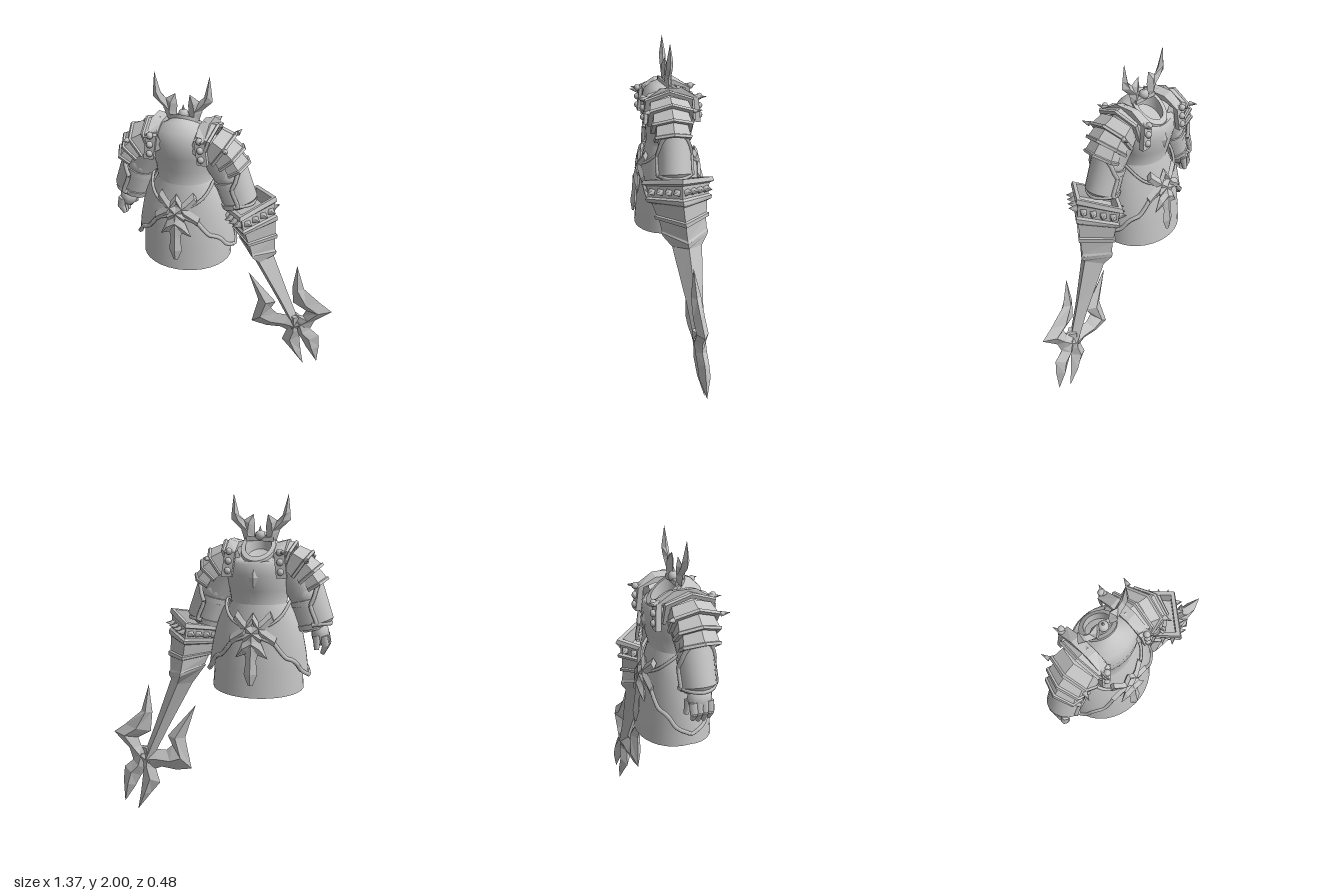
import * as THREE from 'three';
import { toCreasedNormals } from 'three/addons/utils/BufferGeometryUtils.js';

const steel = new THREE.MeshStandardMaterial({ color: 0xc4c4c4, side: THREE.DoubleSide });
steel.name = 'steel';
const V = (x, y, z) => new THREE.Vector3(x, y, z);

function add(parent, name, geo) {
  const m = new THREE.Mesh(geo, steel);
  m.name = name;
  parent.add(m);
  return m;
}

// Skins a list of cross-section rings; optional closed loop, end caps and crease angle
function loft(rings, { loop = true, cap = false, crease = 0.05 } = {}) {
  const pos = [], n = rings[0].length;
  const tri = (...p) => p.forEach(v => pos.push(v.x, v.y, v.z));
  for (let i = 0; i + 1 < rings.length; i++) {
    for (let j = 0; j < (loop ? n : n - 1); j++) {
      const a = rings[i][j], b = rings[i][(j + 1) % n], c = rings[i + 1][(j + 1) % n], d = rings[i + 1][j];
      tri(a, b, c);
      tri(a, c, d);
    }
  }
  if (cap) [rings[0], rings[rings.length - 1]].forEach((r, k) => {
    for (let j = 1; j + 1 < n; j++) k ? tri(r[0], r[j], r[j + 1]) : tri(r[0], r[j + 1], r[j]);
  });
  const g = new THREE.BufferGeometry();
  g.setAttribute('position', new THREE.Float32BufferAttribute(pos, 3));
  return toCreasedNormals(g, crease);
}

// Ridged blade through pairs [x1, y1, x2, y2], following depth z(x, y)
function blade(pairs, z, s = 1, k = 0.4, max = 0.04) {
  return loft(pairs.map(([a, b, c, d]) => {
    const t = Math.min(max, k * Math.hypot(c - a, d - b)), mx = (a + c) / 2, my = (b + d) / 2;
    return [V(a * s, b, z(a, b)), V(mx * s, my, z(mx, my) + t), V(c * s, d, z(c, d)), V(mx * s, my, z(mx, my) - t)];
  }), { cap: true });
}

// Tapered round piece between two points
function limb(parent, name, a, b, ra, rb, sides = 12) {
  const d = b.clone().sub(a);
  const m = add(parent, name, new THREE.CylinderGeometry(rb, ra, d.length(), sides));
  m.position.copy(a).addScaledVector(d, 0.5);
  m.quaternion.setFromUnitVectors(V(0, 1, 0), d.normalize());
  return m;
}
const spike = (parent, name, p, dir, r, h, sides = 6) =>
  limb(parent, name, p, p.clone().addScaledVector(dir.clone().normalize(), h), r, 0.001, sides);
const trim = (parent, name, pts, r) =>
  add(parent, name, new THREE.TubeGeometry(new THREE.CatmullRomCurve3(pts), 48, r, 5));

// Linear lookup in rows [key, v1, v2...] with falling keys
function at(rows, y, c) {
  for (let i = 0; i + 1 < rows.length; i++) {
    const a = rows[i], b = rows[i + 1];
    if (y >= b[0]) return THREE.MathUtils.lerp(a[c], b[c], Math.min(1, Math.max(0, (a[0] - y) / (a[0] - b[0]))));
  }
  return rows[rows.length - 1][c];
}
const SKIRT = [[1.38, .165, .135], [1.3, .205, .155], [1.2, .235, .172], [1.1, .255, .19], [1, .268, .203], [.87, .276, .218]];
const PANEL = [[1.39, .19, .15], [1.3, .235, .168], [1.2, .265, .187], [1.1, .285, .203], [.95, .305, .218]];
const ellipse = (y, rx, rz, cz = 0, tilt = 0, n = 32) => Array.from({ length: n }, (_, i) => {
  const a = i / n * Math.PI * 2, z = Math.sin(a) * rz;
  return V(Math.cos(a) * rx, y + z * tilt, z + cz);
});

function buildBody(body) {
  // Cuirass closing towards a neck opening that leans to -z
  add(body, 'cuirass', loft([
    ellipse(1.3, .18, .15), ellipse(1.38, .165, .135), ellipse(1.46, .175, .145, -.01), ellipse(1.55, .2, .165, -.008),
    ellipse(1.62, .2, .165, 0, .05), ellipse(1.665, .175, .15, -.005, .25), ellipse(1.685, .135, .12, -.02, .5), ellipse(1.695, .09, .095, -.04, .72),
  ], { crease: 1 }));
  // Collar with a closed floor
  add(body, 'collar', loft([
    ellipse(1.67, .1, .105, -.045, .72), ellipse(1.708, .1, .105, -.045, .72),
    ellipse(1.712, .075, .08, -.045, .72), ellipse(1.64, .07, .075, -.045, .6), ellipse(1.63, .001, .001, -.045),
  ], { crease: .6 }));
  add(body, 'chestGem', blade([[0, 1.59, 0, 1.59], [-.03, 1.54, .03, 1.54], [0, 1.48, 0, 1.48]], () => -.168, 1, .3));
  const skirt = SKIRT.map(([y, rx, rz]) => ellipse(y, rx, rz));
  skirt[skirt.length - 1].forEach(p => { p.y -= .025 * Math.abs(p.z) / .22; });
  add(body, 'skirt', loft(skirt, { crease: 1 }));

  // Crown between the horns
  add(body, 'crownStud', new THREE.SphereGeometry(.03, 10, 8)).position.set(0, 1.765, 0);
  spike(body, 'crownSpike', V(0, 1.78, 0), V(0, 1, 0), .012, .04);
  add(body, 'crownBand', new THREE.BoxGeometry(.16, .025, .03)).position.set(0, 1.745, 0);

  // Belt ornaments, same on both faces
  for (const f of [1, -1]) {
    const surf = (x, y) => f * (.008 + at(PANEL, y, 2) * Math.sqrt(Math.max(0, 1 - (x / at(PANEL, y, 1)) ** 2)));
    for (const s of [1, -1]) {
      add(body, 'beltBand', blade([[.095, 1.35, .12, 1.29], [.05, 1.3, .065, 1.24], [0, 1.26, 0, 1.19], [-.06, 1.21, -.05, 1.17]], surf, s, .25, .02));
      add(body, 'beltPeak', blade([[0, 1.34, 0, 1.28], [.055, 1.26, .05, 1.2], [.14, 1.2, .125, 1.15]], surf, s, .25, .02));
      add(body, 'pendantWing', blade([[0, 1.22, 0, 1.11], [.055, 1.17, .045, 1.1], [.095, 1.08, .095, 1.08]], surf, s, .25, .02));
    }
    add(body, 'pendant', blade([[-.025, 1.22, .025, 1.22], [-.05, 1.14, .05, 1.14], [-.03, 1.07, .03, 1.07],
      [-.04, .99, .04, .99], [-.015, .925, .015, .925]], surf, 1, .25, .02));
  }
}

// Five-point arch around an arm at p; tilt is the arm's slope below level
function arch(s, p, tilt, h, w, drop, back = 0) {
  const ux = Math.sin(tilt), uy = Math.cos(tilt);
  return [[-drop, -w], [h * .55, -w], [h, 0], [h * .55, w], [-drop, w]].map(([n, z]) =>
    V(s * (p[0] + ux * n - uy * back), p[1] + uy * n + ux * back, z + .02));
}

function buildSide(body, s) {
  const P = (x, y, z = 0) => V(s * x, y, z);
  // Branched horn
  add(body, 'horn', blade([[.095, 1.735, .037, 1.735], [.115, 1.8, .035, 1.78], [.175, 1.855, .085, 1.84], [.172, 1.9, .127, 1.88], [.16, 2, .16, 2]], () => .008, s, .4, .02));
  add(body, 'hornProng', blade([[.115, 1.79, .035, 1.76], [.1, 1.85, .032, 1.82], [.042, 1.885, .042, 1.885]], () => .008, s, .4, .02));

  // Shoulder strap with rivets and end spikes
  const strap = (w, h, x) => [[1.54, -w], [1.68, -w + .01], [h, -.06], [h, .06], [1.68, w - .01], [1.54, w]]
    .map(([y, z]) => P(x + (y < 1.6 ? .02 : 0), y, z));
  add(body, 'shoulderStrap', loft([strap(.14, 1.7, .11), strap(.17, 1.73, .11), strap(.17, 1.745, .17), strap(.14, 1.7, .17)], { loop: false }));
  for (const f of [1, -1]) {
    for (let i = 0; i < 3; i++)
      add(body, 'rivet', new THREE.SphereGeometry(.02, 8, 6)).position.copy(P(.152 - i * .004, 1.575 + i * .055, f * .168));
    spike(body, 'strapSpike', P(.15, 1.68, f * .14), V(s * .25, .1, f), .02, .07);
  }

  // Overlapping shoulder plates
  [[.18, 1.62, 20, .12, .14, .06], [.25, 1.58, 35, .12, .13, .055], [.29, 1.53, 48, .11, .118, .045], [.32, 1.47, 58, .1, .105, .02]]
    .forEach(([x, y, deg, h, w, drop], i) => {
      const a = deg * Math.PI / 180, p = [x, y];
      const outer = arch(s, p, a, h, w, drop);
      add(body, 'shoulderPlate', loft([arch(s, p, a, h * .8, w * .85, drop * .8, .09), arch(s, p, a, h * .92, w * .95, drop, .02),
        arch(s, p, a, h * 1.02, w * 1.04, drop, .015), outer, arch(s, p, a, h * .8, w * .8, drop, 0)], { loop: false }));
      if (i === 1) for (const k of [1, 3])
        spike(body, 'shoulderSpike', outer[k], V(s * .3, .15, k - 2), .016, .05);
    });

  // Arm
  limb(body, 'upperArm', P(.17, 1.62, .01), P(.265, 1.42, .01), .11, .085);
  const elbow = add(body, 'elbow', new THREE.SphereGeometry(.088, 14, 10));
  elbow.position.copy(P(.265, 1.43, .01));
  limb(body, 'forearm', P(.262, 1.45, .01), P(.33, 1.23, .01), .085, .07);
  limb(body, 'bracerUpperBand', P(.272, 1.405, .01), P(.28, 1.375, .01), .095, .095, 10);
  limb(body, 'bracer', P(.28, 1.375, .01), P(.315, 1.26, .01), .09, .085, 10);
  limb(body, 'bracerLowerBand', P(.312, 1.27, .01), P(.32, 1.24, .01), .095, .092, 10);

  // Curved guard wrapped round the outer forearm, arched at the top
  const guard = [];
  for (let d = -80; d <= 80; d += 16) {
    const a = d * Math.PI / 180, top = -.045 + .12 * Math.sin(a) ** 4, r = .112;
    guard.push([top, .1, .18, .215 - .03 * Math.sin(a) ** 2].map((t, i) =>
      P(.274 + .32 * t + .95 * r * Math.cos(a) - (i === 3 ? .025 : 0), 1.44 - .95 * t + .32 * r * Math.cos(a), .01 + r * .92 * Math.sin(a))));
  }
  add(body, 'forearmGuard', loft(guard, { loop: false, crease: .6 }));
  for (const i of [0, 3]) trim(body, 'guardTrim', guard.map(c => c[i]), .013);
  for (const c of [guard[0], guard[guard.length - 1]]) trim(body, 'guardSideTrim', c, .013);

  // Free hand
  if (s < 0) {
    const palm = add(body, 'palm', new THREE.SphereGeometry(.07, 10, 8));
    palm.scale.set(.75, 1.05, 1);
    palm.position.copy(P(.365, 1.205, .01));
    for (let i = 0; i < 4; i++) {
      const z = -.035 + i * .031;
      limb(body, 'finger', P(.39, 1.2, z), P(.405, 1.14, z), .026, .023, 6);
      limb(body, 'fingertip', P(.405, 1.145, z), P(.383, 1.08 + Math.abs(i - 1.5) * .01, z), .023, .012, 6);
    }
    limb(body, 'thumb', P(.35, 1.2, -.045), P(.355, 1.12, -.06), .024, .014, 6);
  }

  // Hip panel with scalloped lower edge and trim
  const edge = [[80, 1.2], [63, 1.17], [50, 1.085], [35, 1.06], [22, .99], [0, .955]];
  const cols = [];
  for (let d = -80; d <= 80; d += 8) {
    const a = d * Math.PI / 180, lo = at(edge, Math.abs(d), 1), hi = 1.25 + .145 * Math.cos(a) ** 2;
    cols.push(Array.from({ length: 8 }, (_, i) => {
      const y = hi + (lo - hi) * i / 7;
      return P(at(PANEL, y, 1) * Math.cos(a), y, at(PANEL, y, 2) * Math.sin(a));
    }));
  }
  add(body, 'hipPanel', loft(cols, { loop: false, crease: .8 }));
  trim(body, 'hipUpperTrim', cols.map(c => c[0]), .01);
  trim(body, 'hipLowerTrim', cols.map(c => c[7]), .013);
}

// Lance centre line and section slope: [-distance, x, y, z, angle]
const AXIS = [[0, .145, 1.265, 0, .31], [-.1, .16, 1.167, 0, .2], [-.34, .2, .93, -.035, -.3], [-.4, .235, .86, -.042, .2], [-1, .455, .35, -.08, .42]];

function buildLance(lance) {
  const pt = (t, a, b) => {
    const [x, y, z, th] = [1, 2, 3, 4].map(c => at(AXIS, -t, c));
    return V(x + a * Math.cos(th), y + a * Math.sin(th), z + b);
  };
  const ring = (t, a, b) => [pt(t, a, 0), pt(t, 0, b), pt(t, -a, 0), pt(t, 0, -b)];
  add(lance, 'lanceBody', loft([[.08, .13, .16], [0, .14, .17], [0, .168, .205], [.025, .172, .215], [.035, .155, .185], [.1, .148, .18],
    [.11, .16, .2], [.13, .158, .19], [.14, .142, .165], [.21, .13, .15], [.215, .142, .165], [.235, .138, .16], [.24, .125, .14],
    [.31, .115, .135], [.32, .125, .14], [.34, .118, .135], [.39, .07, .09], [.75, .042, .05], [1, .03, .035]]
    .map(r => ring(...r)), { cap: true }));
  // Pyramid studs on the four faces of the rim
  const r = ring(.068, .152, .183), mid = pt(.068, 0, 0), down = pt(.1, 0, 0).sub(pt(0, 0, 0));
  for (let f = 0; f < 4; f++) {
    const a = r[f], b = r[(f + 1) % 4], n = b.clone().sub(a).cross(down).normalize();
    if (n.dot(a.clone().sub(mid)) < 0) n.negate();
    for (let i = 0; i < 4; i++) spike(lance, 'rimStud', a.clone().lerp(b, .14 + i * .24), n, .025, .05, 4);
  }
  // Forked head
  const z = (x, y) => -.1 + .075 * y;
  const head = {
    leftBarb: [[.14, .72, .14, .72], [.205, .505, .32, .51], [.16, .31, .29, .45], [.26, .292, .33, .415], [.36, .302, .41, .415], [.43, .27, .47, .43]],
    rightBarb: [[.45, .83, .45, .83], [.5, .655, .425, .655], [.61, .56, .435, .53], [.685, .505, .52, .48], [.58, .405, .5, .43], [.55, .32, .445, .43], [.46, .27, .41, .4]],
    innerProng: [[.4, .43, .5, .42], [.4, .29, .5, .31], [.37, .195, .485, .25], [.43, .12, .5, .12], [.52, 0, .52, 0]],
    outerProng: [[.41, .4, .56, .37], [.46, .28, .555, .33], [.5, .23, .612, .28], [.535, .16, .62, .19], [.61, .045, .61, .045]],
  };
  for (const name in head) add(lance, name, blade(head[name], z, 1, .4, .035));
}

export function createModel() {
  const model = new THREE.Group(), body = new THREE.Group(), lance = new THREE.Group();
  body.name = 'armour';
  lance.name = 'lance';
  body.position.x = -.245;
  buildBody(body);
  for (const s of [1, -1]) buildSide(body, s);
  buildLance(lance);
  model.add(body, lance);
  return model;
}
